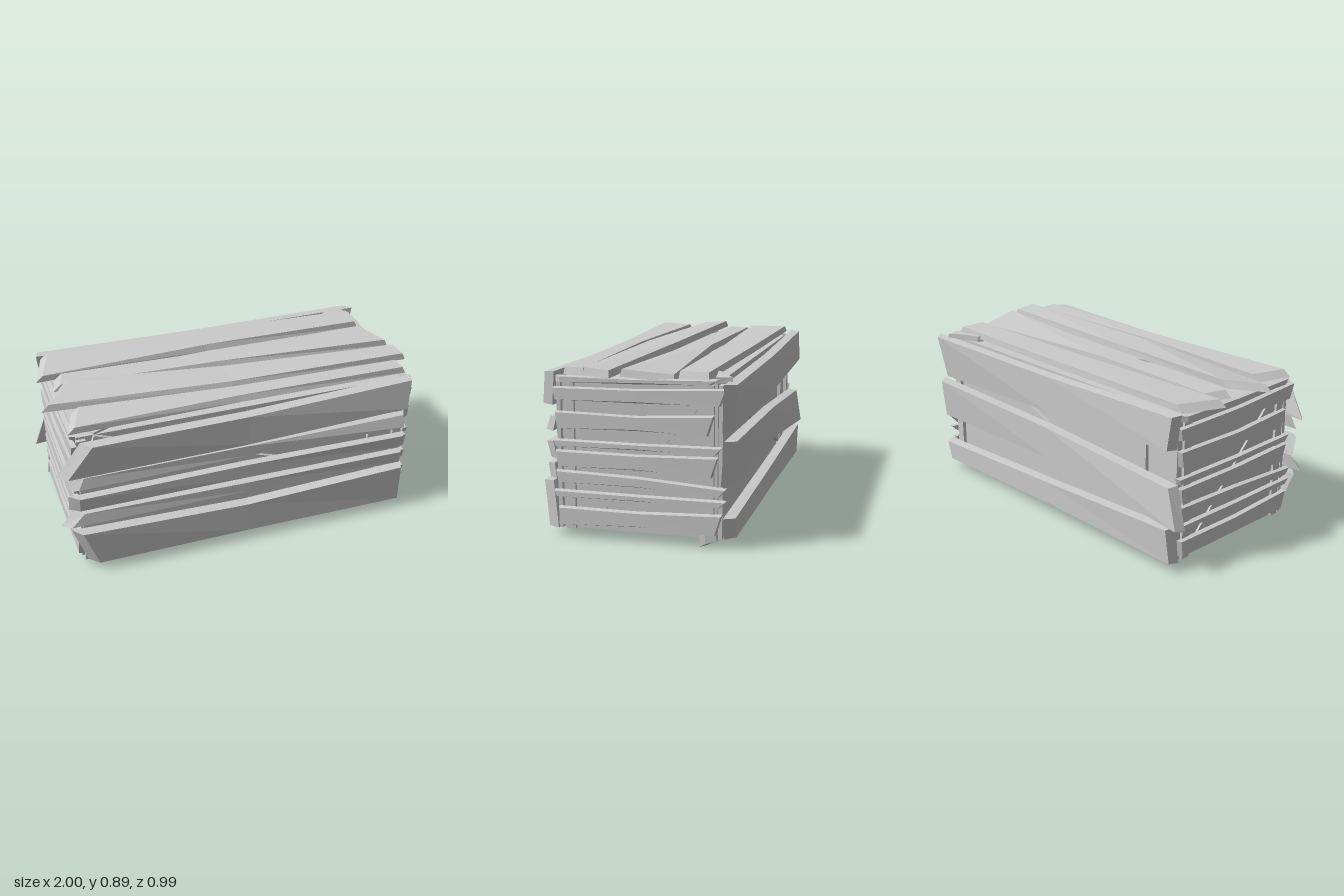
import * as THREE from 'three';

const wood = new THREE.MeshStandardMaterial({ color: 0xcccccc, flatShading: true });
const liningWood = new THREE.MeshStandardMaterial({ color: 0xcccccc, flatShading: true, side: THREE.DoubleSide });

// Rough plank lofted through three sections. u runs along it, v across it, w outward.
// start / end: [u at low edge, u at high edge, low v, high v]; mid: [low v, high v]
// twist: how far the high edge leans outward at the start and at the end
function plank(start, mid, end, inner, outer, { bevel = 0.03, bow = 0.005, midU = 0, lift = 0, twist = [0, 0] } = {}) {
  const section = ([uLo, uHi, lo, hi], shift, lean, cut, pinch) => {
    const a = shift - lean / 2, b = shift + lean / 2;
    return [
      [uLo, lo, inner + a], [uHi, hi, inner + b],
      [uHi + cut, hi - 0.004, outer + b], [uLo + cut, lo + pinch, outer + a],
    ];
  };
  const rings = [
    section(start, lift, twist[0], bevel, 0.004),
    section([midU, midU, ...mid], bow, 0, 0, 0.012),
    section(end, 0, twist[1], -bevel * 0.4, 0.004),
  ];
  const index = [0, 2, 1, 0, 3, 2, 8, 9, 10, 8, 10, 11];
  for (let i = 0; i < 2; i++) {
    for (let j = 0; j < 4; j++) {
      const k = (j + 1) % 4, a = i * 4 + j, b = i * 4 + k;
      index.push(a, b, b + 4, a, b + 4, a + 4);
    }
  }
  const geometry = new THREE.BufferGeometry();
  geometry.setAttribute('position', new THREE.Float32BufferAttribute(rings.flat(2), 3));
  geometry.setIndex(index);
  const flat = geometry.toNonIndexed();
  flat.computeVertexNormals();
  return flat;
}

function add(group, name, geometry, material = wood) {
  const mesh = new THREE.Mesh(geometry, material);
  mesh.name = name;
  group.add(mesh);
  return mesh;
}

// Straight batten between two points on a wall
function batten(group, name, [u0, v0], [u1, v1], width, w, depth) {
  const length = Math.hypot(u1 - u0, v1 - v0);
  const mesh = add(group, name, new THREE.BoxGeometry(length, width, depth));
  mesh.position.set((u0 + u1) / 2, (v0 + v1) / 2, w);
  mesh.rotation.z = Math.atan2(v1 - v0, u1 - u0);
}

export function createModel() {
  const crate = new THREE.Group();
  crate.name = 'woodenCrate';

  const wall = (name, rx, ry) => {
    const g = new THREE.Group();
    g.name = name;
    g.rotation.set(rx, ry, 0);
    crate.add(g);
    return g;
  };
  const front = wall('frontWall', 0, 0);
  const back = wall('backWall', 0, Math.PI);
  const leftEnd = wall('leftEnd', 0, Math.PI / 2);
  const rightEnd = wall('rightEnd', 0, -Math.PI / 2);
  const lid = wall('lid', -Math.PI / 2, 0);

  // Inner lining: four walls and a roof, open underneath
  const panel = (group, name, u0, u1, v0, v1, w) => {
    const mesh = add(group, name, new THREE.PlaneGeometry(u1 - u0, v1 - v0), liningWood);
    mesh.position.set((u0 + u1) / 2, (v0 + v1) / 2, w);
  };
  panel(front, 'frontLining', -0.88, 0.91, 0.04, 0.8, 0.39);
  panel(back, 'backLining', -0.91, 0.88, 0.04, 0.8, 0.39);
  panel(leftEnd, 'leftLining', -0.39, 0.39, 0.04, 0.8, 0.91);
  panel(rightEnd, 'rightLining', -0.39, 0.39, 0.04, 0.8, 0.88);
  panel(lid, 'lidLining', -0.88, 0.91, -0.39, 0.39, 0.8);

  // Upright posts and diagonal braces between lining and planks
  for (const [g, us, w] of [
    [front, [-0.86, 0.75, 0.9], 0.405], [back, [-0.89, 0.65, 0.86], 0.405],
    [leftEnd, [-0.35, 0.35], 0.92], [rightEnd, [-0.35, 0.35], 0.885],
  ]) {
    for (const u of us) batten(g, 'post', [u, 0.04], [u, 0.79], 0.05, w, 0.02);
  }
  batten(front, 'brace', [-0.8, 0.78], [0.85, 0.2], 0.05, 0.4, 0.02);
  batten(back, 'brace', [-0.8, 0.75], [0.85, 0.12], 0.05, 0.4, 0.02);
  batten(leftEnd, 'brace', [-0.28, 0.06], [0.33, 0.74], 0.04, 0.917, 0.014);
  batten(rightEnd, 'brace', [-0.3, 0.08], [0.3, 0.72], 0.04, 0.884, 0.014);
  batten(lid, 'brace', [-0.8, -0.37], [0.8, 0.33], 0.05, 0.805, 0.015);
  // Split foot of one corner post
  add(leftEnd, 'splitFoot', plank([0.31, 0.31, 0.0, 0.09], [0.01, 0.08], [0.395, 0.39, 0.035, 0.08], 0.92, 0.945,
    { midU: 0.34, bevel: 0 }));

  // Front planks, top to bottom, with the lean of each end
  [
    [[[-1, -0.87, 0.6, 0.8], [0.615, 0.8], [0.93, 0.95, 0.66, 0.83]], [0.03, -0.02]],
    [[[-0.95, -0.92, 0.53, 0.6], [0.535, 0.61], [0.93, 0.93, 0.53, 0.605]], [-0.01, -0.02]],
    [[[-0.95, -0.95, 0.39, 0.485], [0.395, 0.49], [0.93, 0.93, 0.39, 0.48]], [0.02, 0.02]],
    [[[-1, -0.93, 0.305, 0.38], [0.305, 0.375], [0.93, 0.93, 0.29, 0.37]], [-0.01, 0.01]],
    [[[-0.87, -0.95, 0.04, 0.27], [0.05, 0.24], [0.94, 0.93, 0.04, 0.28]], [0.02, 0.025]],
  ].forEach(([p, twist], i) => {
    const outer = i % 4 ? 0.465 : 0.48;
    add(front, 'frontPlank', plank(...p, 0.425, outer, { bevel: 0.05, twist }));
  });

  // Back planks, top to bottom, with the lean of each end
  [
    [[[-0.95, -1, 0.57, 0.81], [0.6, 0.81], [0.9, 0.92, 0.65, 0.83]], [0.02, -0.01]],
    [[[-0.98, -0.99, 0.32, 0.54], [0.33, 0.52], [0.97, 0.9, 0.25, 0.46]], [0.015, -0.02]],
    [[[-0.94, -0.97, 0.05, 0.16], [0.06, 0.2], [0.92, 0.9, 0.05, 0.24]], [0, 0.01]],
  ].forEach(([p, twist]) => add(back, 'backPlank', plank(...p, 0.43, 0.483, { bevel: 0.04, twist })));

  // Narrow slats on both ends: [start low, start high, mid low, mid high, end low, end high, start u, end u]
  const slats = [
    [0.69, 0.755, 0.69, 0.76, 0.695, 0.78, -0.42, 0.44],
    [0.55, 0.635, 0.555, 0.63, 0.55, 0.65, -0.41, 0.38],
    [0.46, 0.495, 0.46, 0.495, 0.46, 0.5, -0.42, 0.42],
    [0.36, 0.44, 0.36, 0.44, 0.35, 0.45, -0.41, 0.4],
    [0.28, 0.34, 0.275, 0.33, 0.26, 0.3, -0.41, 0.44],
    [0.205, 0.24, 0.205, 0.24, 0.205, 0.24, -0.42, 0.44],
    [0.065, 0.155, 0.075, 0.155, 0.065, 0.17, -0.4, 0.42],
  ];
  for (const [a, b, c, d, e, f, u0, u1] of slats) {
    const shape = [[u0, u0 - 0.01, a, b], [c, d], [u1 - 0.03, u1, e, f]];
    add(leftEnd, 'endSlat', plank(...shape, 0.93, 0.962, { bevel: 0.01 }));
    add(rightEnd, 'endSlat', plank(...shape, 0.89, 0.915, { bevel: 0.01 }));
  }
  add(leftEnd, 'topSlat', plank([-0.42, -0.42, 0.775, 0.81], [0.78, 0.81], [0.36, 0.4, 0.79, 0.82], 0.92, 0.95));
  add(rightEnd, 'topSlat', plank([-0.4, -0.4, 0.775, 0.81], [0.78, 0.81], [0.38, 0.4, 0.78, 0.815], 0.885, 0.91));

  // Lid planks, front to back (v runs toward the back)
  [
    [[-0.92, -0.86, -0.39, -0.2], [-0.37, -0.26], [0.94, 0.94, -0.37, -0.27], 0.815, 0.85, 0.008, [0, -0.005]],
    [[-1, -0.86, -0.14, 0.035], [-0.235, -0.05], [1, 1, -0.25, -0.12], 0.82, 0.857, 0.015, [0.028, -0.01]],
    [[-0.9, -0.87, 0.05, 0.17], [0.01, 0.14], [0.98, 0.93, -0.07, 0.18], 0.81, 0.845, 0.005, [0, -0.025]],
    [[-0.97, -0.9, 0.17, 0.4], [0.2, 0.38], [0.92, 0.93, 0.2, 0.35], 0.815, 0.85, 0.005, [0.01, 0]],
  ].forEach(([s, m, e, w0, w1, lift, twist]) =>
    add(lid, 'lidPlank', plank(s, m, e, w0, w1, { lift, twist, bevel: 0.04 })));
  // Loose splinter by the back corner
  add(lid, 'splinter', plank([0.72, 0.74, 0.34, 0.37], [0.36, 0.41], [0.92, 0.9, 0.38, 0.46], 0.8, 0.83, { midU: 0.82, bevel: 0 }));

  return crate;
}
